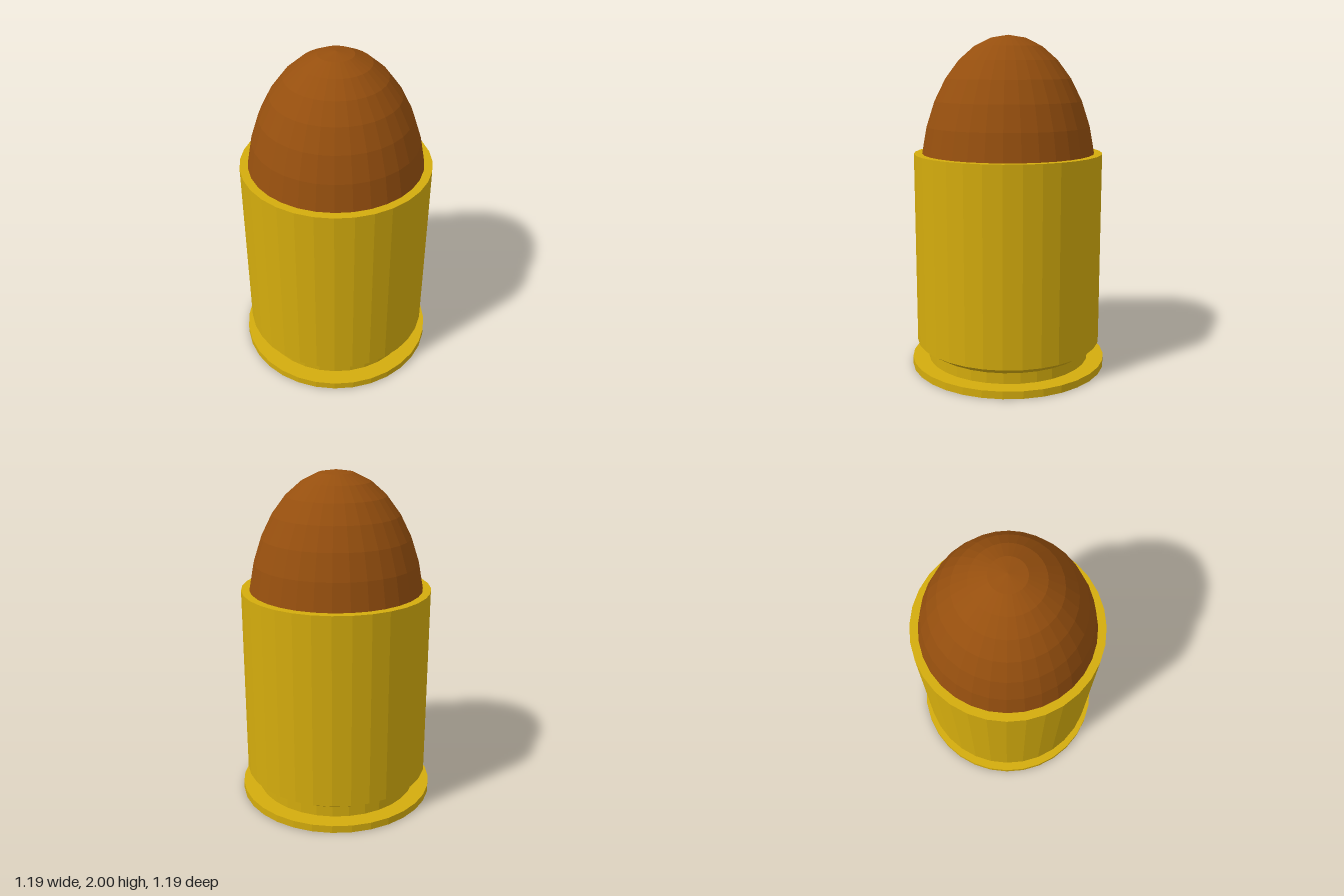
import * as THREE from 'three';

const SIDES = 32;

// Revolves a [radius, height] profile, listed from bottom to top
function turned(name, profile, color) {
  const points = profile.map(([r, y]) => new THREE.Vector2(r, y));
  const material = new THREE.MeshStandardMaterial({ color, flatShading: true });
  const mesh = new THREE.Mesh(new THREE.LatheGeometry(points, SIDES), material);
  mesh.name = name;
  return mesh;
}

export function createModel() {
  const group = new THREE.Group();
  group.name = 'cartridge';

  // Casing: rim, extractor groove, bevel, straight wall and mouth
  group.add(turned('casing', [
    [0, 0], [0.595, 0], [0.595, 0.045], [0.495, 0.045], [0.495, 0.11],
    [0.563, 0.155], [0.563, 1.31], [0.5, 1.31],
  ], 0xd4ac0d));

  // Bullet: upper half of a stretched sphere, seated in the mouth
  const rings = 8, radius = 0.525, height = 0.86;
  const dome = [];
  for (let i = 0; i <= rings; i++) {
    const a = (i / rings) * Math.PI / 2;
    dome.push([i === rings ? 0 : radius * Math.cos(a), 2 - height + height * Math.sin(a)]);
  }
  group.add(turned('bullet', dome, 0x964f0e));

  return group;
}
